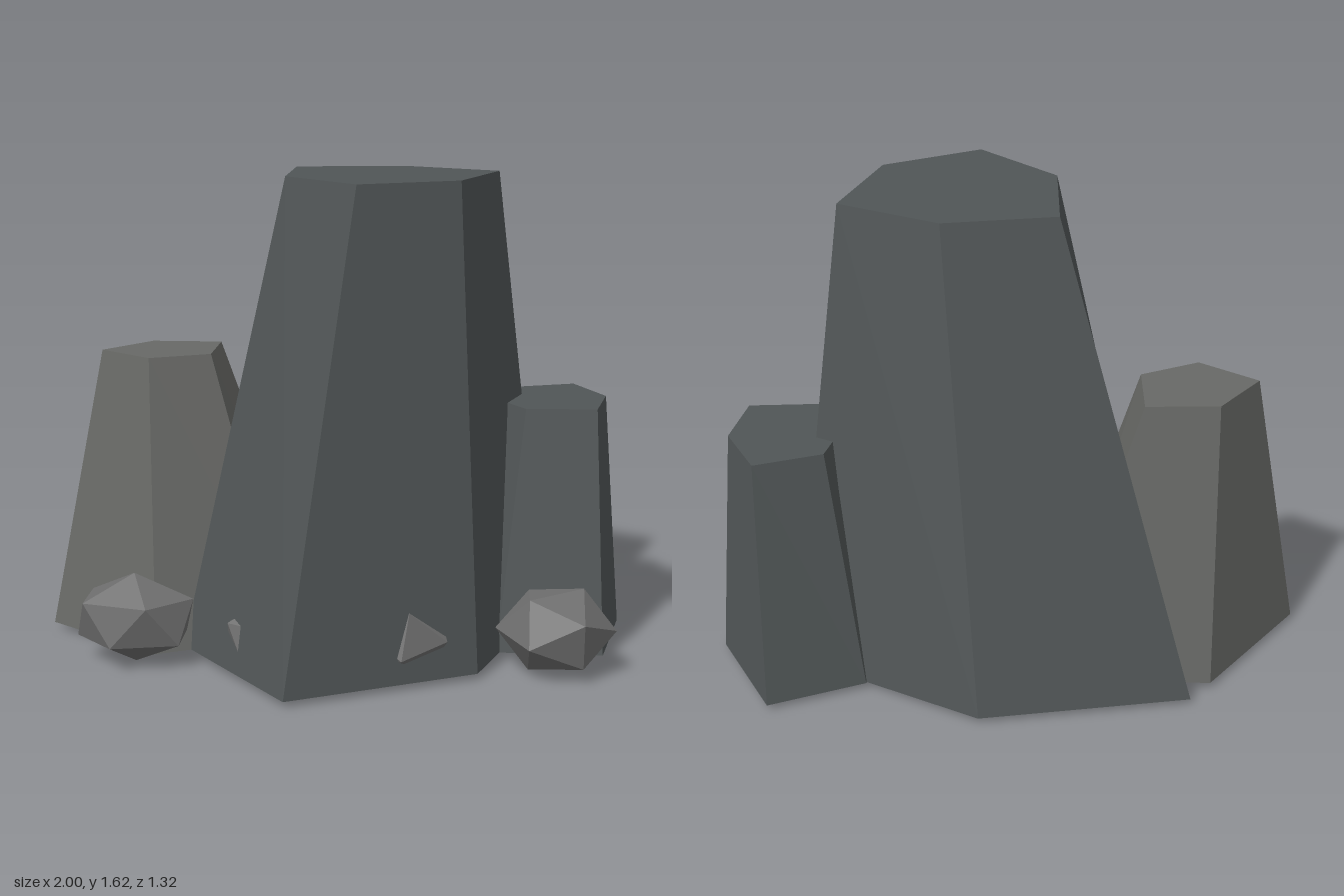
import * as THREE from 'three';

const stone = (color) => new THREE.MeshStandardMaterial({ color, flatShading: true });
const darkStone = stone(0x505556);
const paleStone = stone(0x686966);
const pebbleStone = stone(0x6e6e6e);

// Tapered column lofted between two [x, z] outlines, closed at both ends
function column(name, material, y0, y1, bottom, top) {
  const positions = [];
  const at = ([x, z], y) => [x, y, z];
  const add = (...points) => points.forEach((p) => positions.push(...p));
  const n = top.length;
  for (let i = 0; i < n; i++) {
    const j = (i + 1) % n;
    const aB = at(bottom[i], y0), bB = at(bottom[j], y0);
    const aT = at(top[i], y1), bT = at(top[j], y1);
    add(aB, aT, bT, aB, bT, bB);
    if (i > 0 && j > 0) {
      add(at(top[0], y1), bT, aT);
      add(at(bottom[0], y0), aB, bB);
    }
  }
  const geometry = new THREE.BufferGeometry();
  geometry.setAttribute('position', new THREE.Float32BufferAttribute(positions, 3));
  geometry.computeVertexNormals();
  const mesh = new THREE.Mesh(geometry, material);
  mesh.name = name;
  return mesh;
}

// Stretched icosahedron: spin turns it about its pole, lean tips the pole to +x, yaw turns it
function boulder(name, position, radii, spin, lean = 0, yaw = 0) {
  const geometry = new THREE.IcosahedronGeometry(1, 0);
  geometry.rotateZ(Math.atan(2 / (1 + Math.sqrt(5)))); // one corner straight up
  geometry.rotateY(spin).rotateZ(-lean).rotateY(yaw);
  geometry.scale(...radii).translate(...position);
  geometry.computeVertexNormals();
  const mesh = new THREE.Mesh(geometry, pebbleStone);
  mesh.name = name;
  return mesh;
}

export function createModel() {
  const group = new THREE.Group();
  group.name = 'rockFormation';

  // Standing columns
  group.add(column('mainColumn', darkStone, 0.025, 1.63,
    [[-0.6, -0.555], [0.107, -0.667], [0.74, -0.33], [0.51, 0.35], [-0.1, 0.657], [-0.5, 0.165]],
    [[-0.15, -0.27], [0.22, -0.33], [0.55, -0.16], [0.43, 0.207], [0.107, 0.368], [-0.147, 0.107]]));
  group.add(column('rightSideColumn', paleStone, 0.025, 1.0,
    [[-0.675, -0.46], [-0.11, -0.46], [-0.15, 0.05], [-0.58, 0.26], [-1, -0.035]],
    [[-0.675, -0.315], [-0.43, -0.32], [-0.43, -0.08], [-0.63, 0.015], [-0.82, -0.125]]));
  group.add(column('leftSideColumn', darkStone, 0.025, 0.845,
    [[0.81, -0.6], [1, -0.24], [0.93, 0.14], [0.57, 0.14], [0.42, -0.12], [0.49, -0.47]],
    [[0.83, -0.44], [0.935, -0.235], [0.895, -0.012], [0.655, 0.002], [0.555, -0.15], [0.607, -0.36]]));

  // Loose boulders around the foot
  const quarter = Math.PI / 2;
  group.add(boulder('rightBoulder', [-0.645, 0.16, 0.27], [0.222, 0.155, 0.16], Math.PI));
  group.add(boulder('leftBoulder', [0.765, 0.16, 0.27], [0.2, 0.155, 0.165], -quarter + 0.2, quarter));
  group.add(boulder('frontPebble', [0.265, 0.15, 0.325], [0.165, 0.15, 0.16], 1.92, quarter, -0.49));
  group.add(boulder('buriedPebble', [-0.2, 0.13, 0.33], [0.14, 0.12, 0.13], 0.4));

  return group;
}
